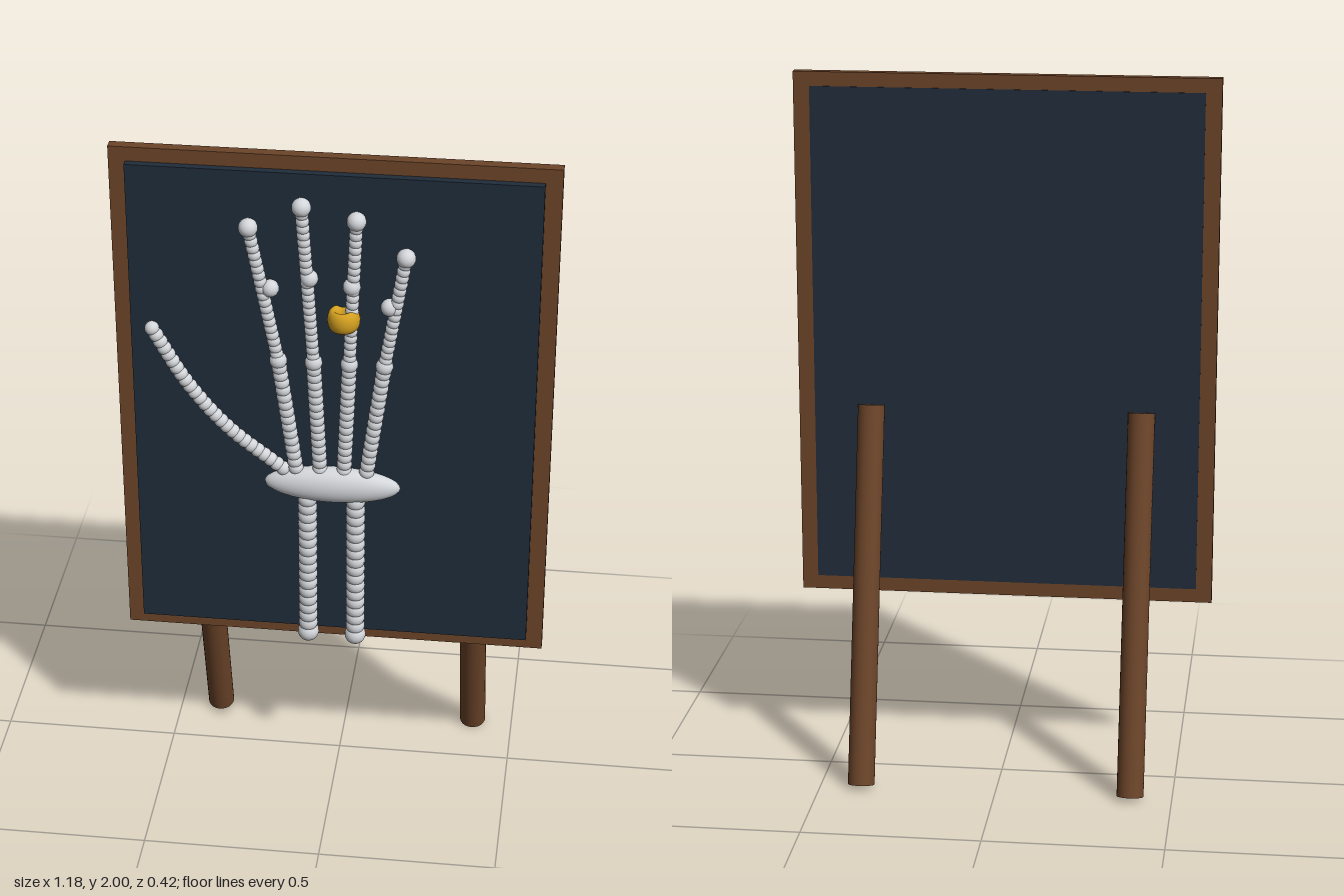
import * as THREE from 'three';

const wood = new THREE.MeshStandardMaterial({ color: 0x6b4429 });
wood.name = 'wood';
const slate = new THREE.MeshStandardMaterial({ color: 0x202c3b });
slate.name = 'slate';
const bone = new THREE.MeshStandardMaterial({ color: 0xd3d6da });
bone.name = 'bone';
const gold = new THREE.MeshStandardMaterial({ color: 0xd4a020 });
gold.name = 'gold';

const HAND_Z = 0.167;
const ballGeometry = new THREE.SphereGeometry(1, 16, 12);

function add(parent, name, geometry, material, x, y, z) {
  const mesh = new THREE.Mesh(geometry, material);
  mesh.name = name;
  mesh.position.set(x, y, z);
  parent.add(mesh);
  return mesh;
}

function ball(parent, name, x, y, r) {
  return add(parent, name, ballGeometry, bone, x, y, HAND_Z, ).scale.setScalar(r);
}

// A row of overlapping beads along a curve through [x, y] points
function beads(parent, name, points, r, spacing) {
  const row = new THREE.Group();
  row.name = name;
  parent.add(row);
  const curve = new THREE.CatmullRomCurve3(points.map(([x, y]) => new THREE.Vector3(x, y, 0)));
  const count = Math.round(curve.getLength() / spacing);
  for (const p of curve.getSpacedPoints(count)) ball(row, name + 'Bead', p.x, p.y, r);
}

export function createModel() {
  const model = new THREE.Group();
  model.name = 'boardWithSkeletonHand';

  // Board: wooden backing with a slate panel reaching through it
  add(model, 'frame', new THREE.BoxGeometry(1.18, 1.5, 0.03), wood, 0, 1.25, 0.111);
  add(model, 'panel', new THREE.BoxGeometry(1.09, 1.42, 0.053), slate, 0, 1.25, 0.1205);

  // Slanted back legs
  for (const side of [-1, 1]) {
    const leg = add(model, side > 0 ? 'leftLeg' : 'rightLeg',
      new THREE.CylinderGeometry(0.038, 0.038, 1.08, 24), wood, side * 0.383, 0.533, -0.04);
    leg.rotation.x = 0.25;
  }

  const hand = new THREE.Group();
  hand.name = 'hand';
  model.add(hand);

  // Forearm bones
  for (const x of [-0.069, 0.064]) {
    beads(hand, 'forearmBone', [[x, 0.54], [x, 1.01]], 0.027, 0.027);
    ball(hand, 'forearmEnd', x, 0.537, 0.03);
  }

  // Wrist
  add(hand, 'wrist', new THREE.SphereGeometry(1, 32, 20), bone, 0, 1.033, HAND_Z)
    .scale.set(0.187, 0.053, 0.04);

  // Fingers: base, knuckle, middle joint, tip
  const fingers = [
    ['indexFinger', [-0.1, 1.08], [-0.145, 1.415], [-0.164, 1.632], [-0.22, 1.807]],
    ['middleFinger', [-0.034, 1.08], [-0.05, 1.415], [-0.06, 1.668], [-0.08, 1.874]],
    ['ringFinger', [0.032, 1.08], [0.046, 1.415], [0.052, 1.65], [0.064, 1.842]],
    ['littleFinger', [0.094, 1.08], [0.14, 1.415], [0.152, 1.595], [0.194, 1.743]],
  ];
  for (const [name, base, knuckle, joint, tip] of fingers) {
    const finger = new THREE.Group();
    finger.name = name;
    hand.add(finger);
    beads(finger, 'palmBone', [base, knuckle], 0.021, 0.022);
    beads(finger, 'fingerBone', [knuckle, tip], 0.018, 0.02);
    ball(finger, 'knuckle', knuckle[0], knuckle[1], 0.024);
    ball(finger, 'middleJoint', joint[0], joint[1], 0.024);
    ball(finger, 'fingertip', tip[0], tip[1], 0.026);
  }

  // Thumb
  beads(hand, 'thumb', [[-0.135, 1.075], [-0.283, 1.195], [-0.39, 1.325], [-0.484, 1.49]], 0.02, 0.022);

  // Ring: a tall band around the finger
  const band = new THREE.TorusGeometry(0.029, 0.015, 14, 32);
  band.rotateX(Math.PI / 2);
  band.scale(1, 2, 1);
  add(hand, 'ring', band, gold, 0.031, 1.552, HAND_Z).rotation.z = 0.06;

  return model;
}
